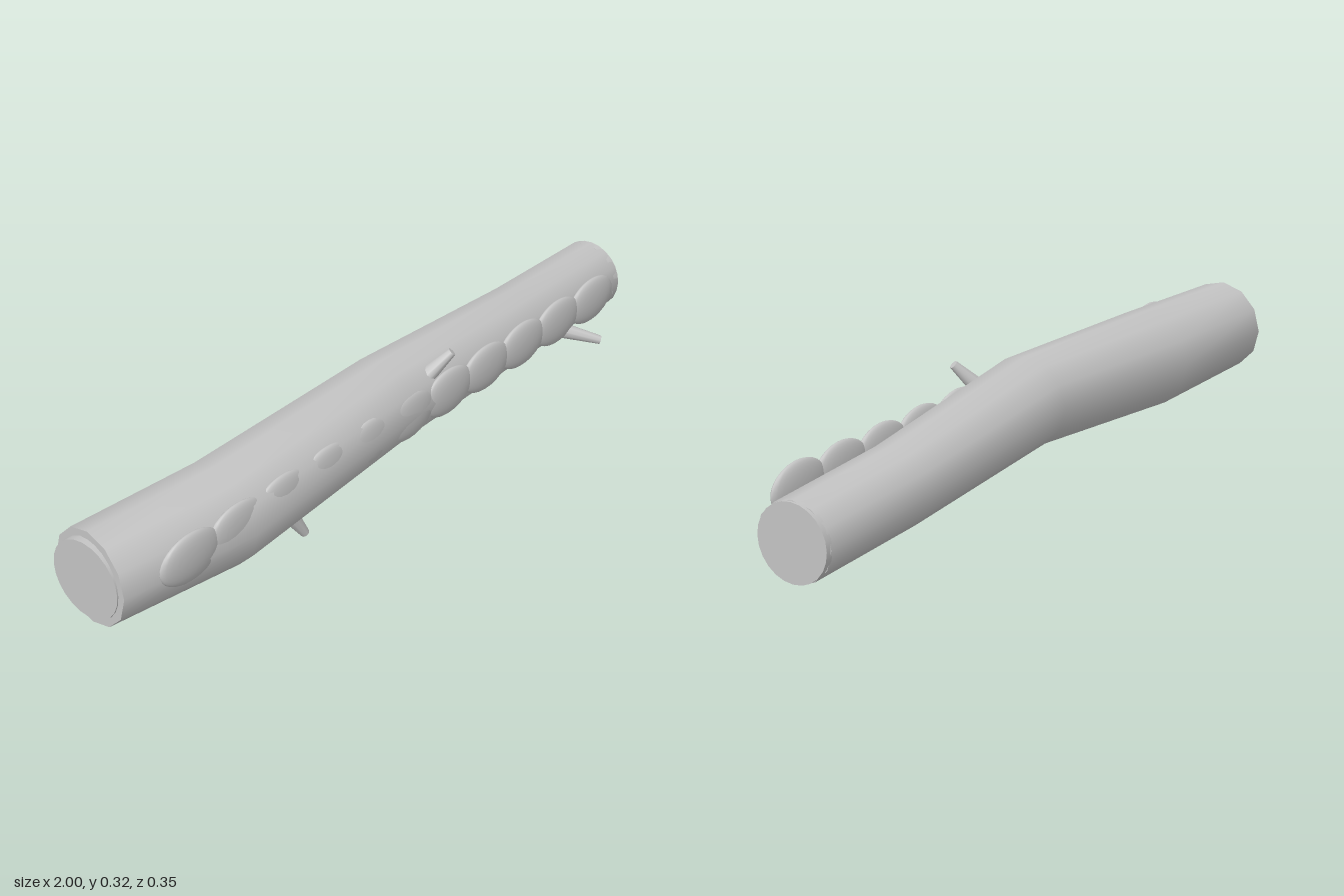
import * as THREE from 'three';

const SIDES = 12;

// Centre line stations: x, y, z, radius, and how far the ring leans in y and z
const STATIONS = [
  [-0.985, 0.176, -0.049, 0.125, -0.02, 0.11],
  [-0.6, 0.165, -0.013, 0.136, 0.02, 0.05],
  [0, 0.2, -0.007, 0.12, 0, -0.02],
  [0.6, 0.16, -0.036, 0.104, -0.04, -0.04],
  [0.992, 0.15, -0.047, 0.1, -0.02, -0.06],
];

function ringPoint([x, y, z, r, sy, sz], j) {
  const a = (j / SIDES) * Math.PI * 2;
  const dy = r * Math.cos(a), dz = r * Math.sin(a);
  return [x - dy * sy - dz * sz, y + dy, z + dz];
}

function buildGeometry(positions, indices) {
  const geometry = new THREE.BufferGeometry();
  geometry.setAttribute('position', new THREE.Float32BufferAttribute(positions, 3));
  geometry.setIndex(indices);
  geometry.computeVertexNormals();
  return geometry;
}

// Bark skin lofted through the stations
function barkGeometry() {
  const positions = [], indices = [];
  STATIONS.forEach((s, i) => {
    for (let j = 0; j < SIDES; j++) {
      positions.push(...ringPoint(s, j));
      if (i === STATIONS.length - 1) continue;
      const a = i * SIDES + j, b = i * SIDES + ((j + 1) % SIDES);
      indices.push(a, b, a + SIDES, b, b + SIDES, a + SIDES);
    }
  });
  return buildGeometry(positions, indices);
}

// Flat end face of the log
function endGeometry(station, facing) {
  const positions = station.slice(0, 3), indices = [];
  for (let j = 0; j < SIDES; j++) {
    positions.push(...ringPoint(station, j));
    const a = j + 1, b = ((j + 1) % SIDES) + 1;
    if (facing > 0) indices.push(0, a, b);
    else indices.push(0, b, a);
  }
  return buildGeometry(positions, indices);
}

export function createModel() {
  const group = new THREE.Group();
  const wood = new THREE.MeshStandardMaterial({ color: 0xc4c4c4 });
  wood.name = 'greyWood';

  function add(name, geometry) {
    const mesh = new THREE.Mesh(geometry, wood);
    mesh.name = name;
    group.add(mesh);
    return mesh;
  }

  add('bark', barkGeometry());

  // End faces, each with a thin upright cut disc
  const ends = [
    ['right', STATIONS[0], -1, 0.104],
    ['left', STATIONS[STATIONS.length - 1], 1, 0.098],
  ];
  for (const [side, station, facing, radius] of ends) {
    add(side + 'End', endGeometry(station, facing));
    const disc = add(side + 'CutDisc', new THREE.CylinderGeometry(radius, radius, 0.02, 24));
    disc.rotation.z = Math.PI / 2;
    disc.position.set(facing * 0.99, station[1], station[2]);
  }

  // Row of flattened moss pads along the front
  for (let i = 0; i < 11; i++) {
    const pad = add('mossPad' + (i + 1), new THREE.SphereGeometry(1, 24, 16));
    pad.scale.set(0.1, 0.065, 0.019);
    pad.position.set(-0.8 + i * 0.16, 0.195, 0.092);
  }

  // Tapered broken twigs, from buried base to tip
  const twigs = [
    [[0.105, 0.25, 0.06], [0.157, 0.32, 0.106]],
    [[0.67, 0.15, 0.06], [0.75, 0.115, 0.165]],
    [[-0.405, 0.09, 0.035], [-0.36, 0.01, 0.053]],
  ];
  twigs.forEach(([from, to], i) => {
    const base = new THREE.Vector3(...from), tip = new THREE.Vector3(...to);
    const direction = tip.clone().sub(base);
    const twig = add('twig' + (i + 1), new THREE.CylinderGeometry(0.012, 0.024, direction.length(), 10));
    twig.position.copy(base).add(tip).multiplyScalar(0.5);
    twig.quaternion.setFromUnitVectors(new THREE.Vector3(0, 1, 0), direction.normalize());
  });

  return group;
}
